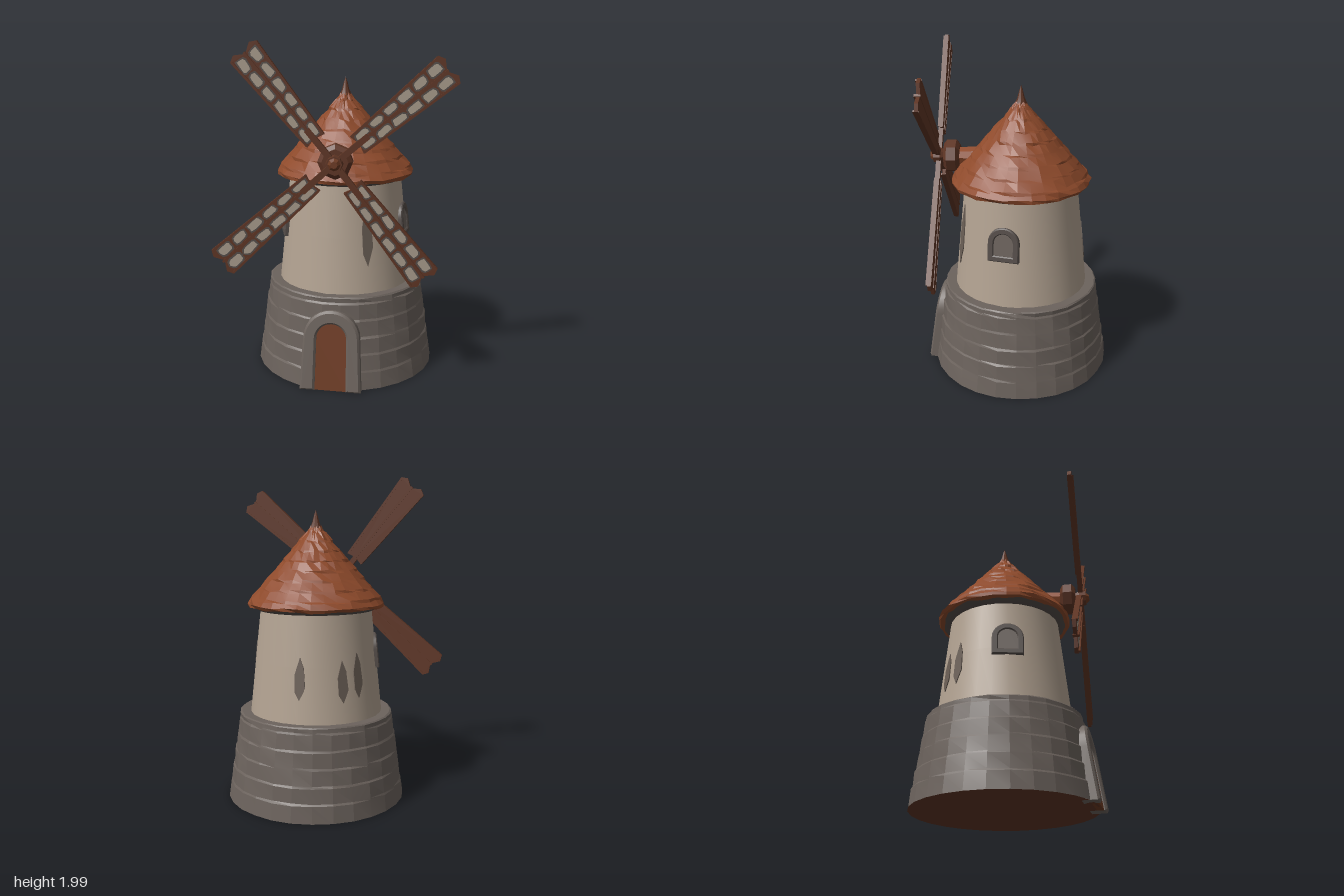
import * as THREE from 'three';
import { toCreasedNormals } from 'three/addons/utils/BufferGeometryUtils.js';

const mat = (name, color, side = THREE.FrontSide) => {
  const m = new THREE.MeshStandardMaterial({ color, side });
  m.name = name;
  return m;
};

// repeatable noise from a position, -0.5..0.5
const noise = (x, y, z) => {
  const r = (v) => Math.round(v * 500);
  const s = Math.sin(r(x) * 12.9898 + r(y) * 78.233 + r(z) * 37.719) * 43758.5453;
  return s - Math.floor(s) - 0.5;
};

// hand-hewn look: push vertices in and out from the vertical axis
function roughen(geo, amount, lift = 0) {
  const p = geo.attributes.position;
  for (let i = 0; i < p.count; i++) {
    const x = p.getX(i), y = p.getY(i), z = p.getZ(i);
    const r = Math.hypot(x, z) || 1;
    const n = noise(x, y, z) * amount;
    p.setXYZ(i, x + (x / r) * n, y + (y > 0.01 ? noise(z, x, y) * lift : 0), z + (z / r) * n);
  }
  return geo;
}

const lathe = (pts, sides) => new THREE.LatheGeometry(pts.map(([r, y]) => new THREE.Vector2(r, y)), sides);

// round-headed outline standing on y = 0
function archPath(path, w, h, y0 = 0) {
  path.moveTo(w, y0);
  path.lineTo(w, h - w);
  path.absarc(0, h - w, w, 0, Math.PI, false);
  path.lineTo(-w, y0);
  path.closePath();
  return path;
}

// extrude backwards from z = 0, leaning with the wall
function leaning(shape, depth, slope, bevel = 0) {
  const geo = new THREE.ExtrudeGeometry(shape, {
    depth: depth - bevel, bevelEnabled: bevel > 0, bevelSize: bevel, bevelOffset: -bevel,
    bevelThickness: bevel, bevelSegments: 1, curveSegments: 7,
  });
  geo.translate(0, 0, -depth);
  const p = geo.attributes.position;
  for (let i = 0; i < p.count; i++) p.setZ(i, p.getZ(i) - p.getY(i) * slope);
  geo.computeVertexNormals();
  return geo;
}

const polygon = (pts) => new THREE.Shape(pts.map(([x, y]) => new THREE.Vector2(x, y)));

export function createModel() {
  const stone = mat('stone', 0x6c635d);
  const darkStone = mat('dark stone', 0x554d49);
  const plaster = mat('plaster', 0xb3a392);
  const tile = mat('roof tile', 0x8e4a2b);
  const wood = mat('wood', 0x5f3524);
  const doorWood = mat('door wood', 0x6e3b23);
  const cloth = mat('sail cloth', 0xa89b8b);
  const cavity = mat('worn plaster', 0x6b5f56);

  const root = new THREE.Group();
  root.name = 'windmill';
  const add = (parent, name, geo, material) => {
    const m = new THREE.Mesh(geo, material);
    m.name = name;
    parent.add(m);
    return m;
  };

  const tower = new THREE.Group();
  tower.name = 'tower';
  tower.position.x = 0.053;
  root.add(tower);

  // stone base in shallow courses
  const baseProfile = [[0.552, 0.0]];
  for (let i = 1; i <= 5; i++) {
    const y = i * 0.1, r = 0.552 - 0.148 * y;
    baseProfile.push([r + 0.003, y], [r - 0.003, y + 0.012]);
  }
  baseProfile.push([0.474, 0.535], [0.466, 0.542], [0.39, 0.54]);
  add(tower, 'stoneBase', toCreasedNormals(roughen(lathe(baseProfile, 28), 0.006, 0.004), 0.2), stone);
  add(tower, 'floor', new THREE.CircleGeometry(0.552, 28).rotateX(Math.PI / 2), wood);

  // plastered tower
  add(tower, 'plasterWall', toCreasedNormals(lathe([[0.411, 0.53], [0.375, 0.87], [0.338, 1.22]], 28), 0.5), plaster);

  // roof with eave and finial
  add(tower, 'eaveUnderside', lathe([[0.32, 1.17], [0.36, 1.172], [0.405, 1.2]], 28), darkStone);
  const roofProfile = [[0.34, 1.185], [0.412, 1.192], [0.42, 1.212]];
  for (let i = 0; i <= 7; i++) {
    const t = i / 7;
    const r = 0.395 + (0.052 - 0.395) * t, y = 1.245 + 0.395 * t;
    roofProfile.push([r + 0.006, y - 0.006], [r - 0.004, y + 0.008]);
  }
  roofProfile.push([0.03, 1.675]);
  add(tower, 'roof', toCreasedNormals(roughen(lathe(roofProfile, 32), 0.014, 0.01), 0.15), tile);
  add(tower, 'finial', toCreasedNormals(
    lathe([[0.036, 1.665], [0.021, 1.7], [0.011, 1.74], [0, 1.772]], 8), 0.4), wood);

  // place something on the wall at an angle around the tower
  const onWall = (name, angle, y, radius) => {
    const turn = new THREE.Group();
    turn.name = name;
    turn.rotation.y = angle;
    const g = new THREE.Group();
    g.position.set(0, y, radius);
    turn.add(g);
    tower.add(turn);
    return g;
  };

  // doorway
  const doorway = onWall('doorway', -0.1, 0, 0.552);
  const surround = new THREE.Shape();
  surround.moveTo(0.18, 0);
  surround.lineTo(0.165, 0.305);
  surround.absarc(0, 0.305, 0.165, 0, Math.PI, false);
  surround.lineTo(-0.18, 0);
  surround.lineTo(-0.092, 0);
  surround.lineTo(-0.088, 0.305);
  surround.absarc(0, 0.305, 0.088, Math.PI, 0, true);
  surround.lineTo(0.092, 0);
  surround.closePath();
  const surroundMesh = add(doorway, 'doorSurround', toCreasedNormals(leaning(surround, 0.1, 0.148, 0.012), 0.4), stone);
  surroundMesh.position.z = 0.024;
  const door = add(doorway, 'door', leaning(archPath(new THREE.Shape(), 0.092, 0.396), 0.04, 0.148), doorWood);
  door.position.z = 0.006;

  // a window on each side
  for (const s of [1, -1]) {
    const win = onWall('window', s * 1.35, 0.82, 0.38);
    const frame = archPath(new THREE.Shape(), 0.093, 0.205);
    frame.holes.push(archPath(new THREE.Path(), 0.058, 0.168, 0.035));
    add(win, 'windowFrame', toCreasedNormals(leaning(frame, 0.05, 0.106, 0.006), 0.4), darkStone).position.z = 0.014;
    add(win, 'windowPane', leaning(archPath(new THREE.Shape(), 0.06, 0.17, 0.03), 0.03, 0.106), stone).position.z = 0.004;
  }

  // worn flakes in the plaster: angle in degrees, lower edge, height
  for (const [deg, y, h] of [[-179, 0.68, 0.25], [-141, 0.66, 0.25], [-125, 0.68, 0.27], [23, 0.7, 0.38]]) {
    const flake = onWall('wornPatch', THREE.MathUtils.degToRad(deg), y, 0.411 - 0.106 * (y - 0.53) + 0.004);
    add(flake, 'flake', leaning(polygon([[0, 0], [0.034, h * 0.3], [0.024, h * 0.75], [0, h], [-0.03, h * 0.6], [-0.028, h * 0.2]]),
      0.006, 0.106), cavity);
  }

  // axle and hub, along z
  const rotor = new THREE.Group();
  rotor.name = 'rotor';
  rotor.position.set(0.02, 1.33, 0);
  root.add(rotor);
  const drum = (name, r0, r1, z0, z1, sides, material) =>
    add(rotor, name, toCreasedNormals(new THREE.CylinderGeometry(r1, r0, z1 - z0, sides)
      .rotateX(Math.PI / 2).translate(0, 0, (z0 + z1) / 2), 0.3), material);
  drum('axleHousing', 0.06, 0.052, 0.24, 0.39, 8, tile);
  drum('hubBlockBack', 0.07, 0.1, 0.37, 0.39, 8, wood);
  drum('hubBlock', 0.1, 0.1, 0.39, 0.445, 8, wood);
  drum('hubBlockFront', 0.1, 0.075, 0.445, 0.465, 8, wood);
  drum('spindle', 0.035, 0.05, 0.46, 0.49, 8, wood);
  drum('hubCap', 0.05, 0.045, 0.49, 0.53, 8, wood);
  drum('hubKnob', 0.036, 0.02, 0.53, 0.55, 8, doorWood);

  // four sails: angle in degrees and length
  const sails = [[129, 0.79], [40, 0.81], [-52, 0.84], [222, 0.88]];
  sails.forEach(([deg, len], k) => {
    const sail = new THREE.Group();
    sail.name = 'sail';
    sail.rotation.z = THREE.MathUtils.degToRad(deg);
    sail.position.z = 0.48;
    rotor.add(sail);
    const start = 0.16, wide = 0.094, narrow = 0.06;
    const half = (x) => narrow + (wide - narrow) * (x - start) / (len - start);

    const arm = add(sail, 'sailArm', new THREE.BoxGeometry(0.24, 0.034, 0.03), wood);
    arm.position.set(0.12, 0, 0.018);
    const board = polygon([[start, -narrow], [len - 0.02, -wide], [len, -wide * 0.6], [len - 0.035, 0],
      [len, wide * 0.6], [len - 0.02, wide], [start, narrow], [start + 0.015, 0]]);
    add(sail, 'sailBoard', new THREE.ExtrudeGeometry(board, { depth: 0.02, bevelEnabled: false }), wood);

    // raised rails along the middle and both edges
    for (const s of [-1, 0, 1]) {
      const a = s * (narrow - 0.006), b = s * (wide - 0.007);
      const rail = add(sail, 'sailRail', new THREE.BoxGeometry(len - start - 0.03, 0.013, s ? 0.032 : 0.036), wood);
      rail.position.set((start + len - 0.02) / 2, (a + b) / 2, 0.014);
      rail.rotation.z = Math.atan2(b - a, len - start);
    }

    // worn cloth panels with grey edges, two rows
    const count = 6, pitch = (len - start - 0.04) / count;
    for (let i = 0; i < count; i++) for (const s of [-1, 1]) {
      const x = start + 0.012 + pitch * (i + 0.5), w = half(x);
      const blob = (rx, ry, z, name, material) => {
        const pts = [];
        for (let j = 0; j < 9; j++) {
          const t = j / 9 * Math.PI * 2, q = 1 + 0.28 * noise(i + j * 0.37, s + k, j);
          const f = (v) => Math.sign(v) * Math.sqrt(Math.abs(v));
          pts.push([f(Math.cos(t)) * rx * q, f(Math.sin(t)) * ry * q]);
        }
        add(sail, name, new THREE.ShapeGeometry(polygon(pts)), material).position.set(x, s * w * 0.5, z);
      };
      blob(pitch * 0.47, w * 0.37, 0.0215, 'panelEdge', darkStone);
      blob(pitch * 0.38, w * 0.26, 0.023, 'clothPanel', cloth);
    }
  });
  return root;
}
